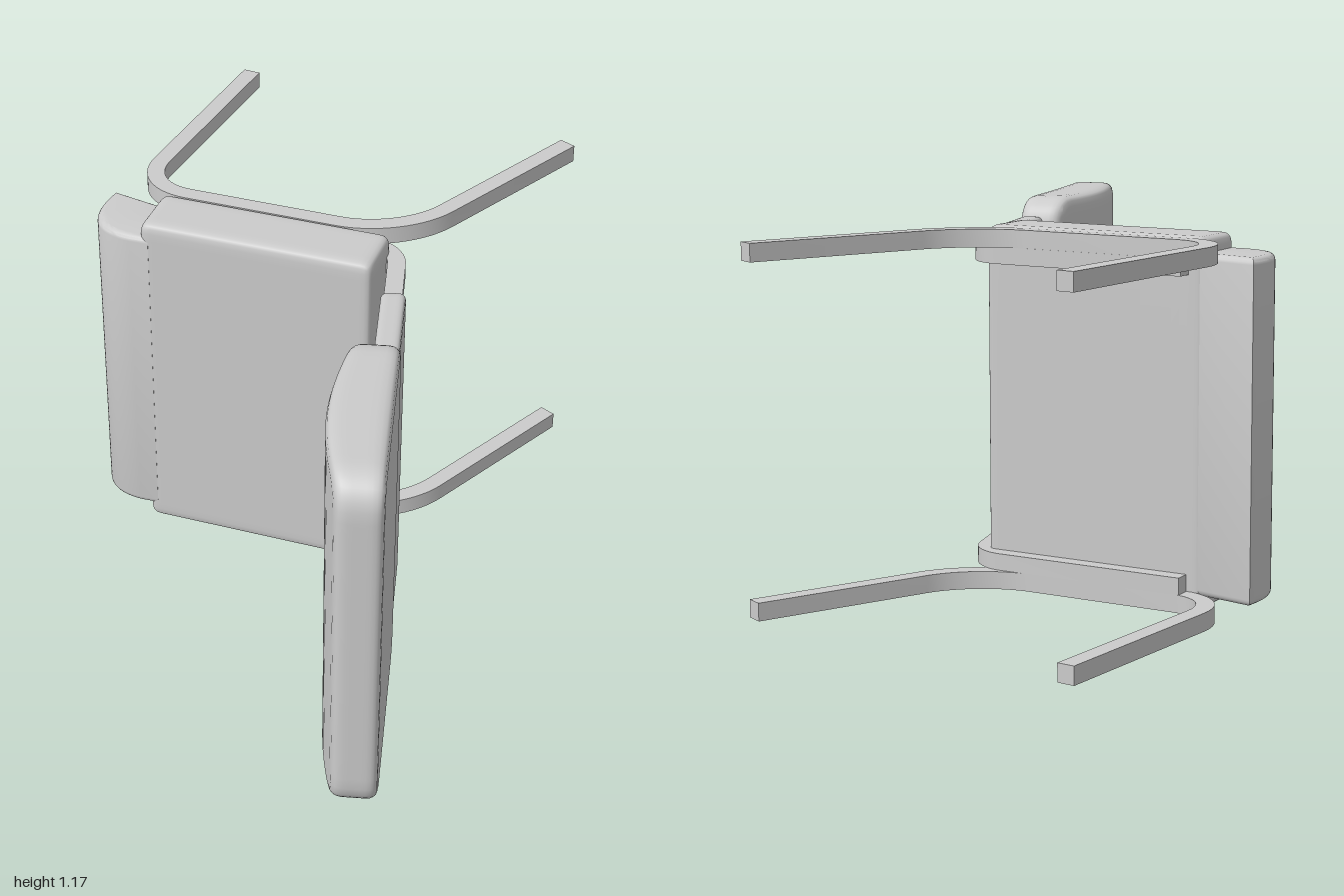
import * as THREE from 'three';
import { mergeVertices, toCreasedNormals } from 'three/addons/utils/BufferGeometryUtils.js';

const material = new THREE.MeshStandardMaterial({ color: 0xcccccc });
const MID_Y = 0.592; // mirror plane of the chair, which lies on its side

function addMesh(parent, name, geometry) {
  const mesh = new THREE.Mesh(geometry, material);
  mesh.name = name;
  parent.add(mesh);
  return mesh;
}

// Cushion block: outline corners rounded by R, rim rounded by r, optional crown on the +z face
function cushion(length, height, depth, R, r, crown = 0) {
  let geo = new THREE.BoxGeometry(2, 2, 2, 28, 28, 12);
  geo.deleteAttribute('uv');
  geo.deleteAttribute('normal');
  geo = mergeVertices(geo);
  const p = geo.attributes.position;
  const half = [length / 2, height / 2, depth / 2];
  const spread = (v, h) => Math.sin(v * Math.PI / 2) * h;
  for (let i = 0; i < p.count; i++) {
    const x = spread(p.getX(i), half[0]);
    const y = spread(p.getY(i), half[1]);
    let z = spread(p.getZ(i), half[2]);
    const ix = THREE.MathUtils.clamp(x, R - half[0], half[0] - R);
    const iy = THREE.MathUtils.clamp(y, R - half[1], half[1] - R);
    const dx = x - ix, dy = y - iy, len = Math.hypot(dx, dy);
    let reach = Math.max(Math.abs(dx), Math.abs(dy));
    const a = Math.max(0, reach - (R - r));
    const b = Math.max(0, Math.abs(z) - (half[2] - r));
    const s = a + b > 0 ? Math.max(a, b) / Math.hypot(a, b) : 1;
    reach += a * (s - 1);
    z += Math.sign(z) * b * (s - 1);
    const k = len > 0 ? reach / len : 0;
    const nx = ix + dx * k;
    z += crown * Math.sin(Math.PI * (nx / length + 0.5)) * (z / depth + 0.5);
    p.setXYZ(i, nx, iy + dy * k, z);
  }
  geo.computeVertexNormals();
  return geo;
}

// Extrudes a plan outline of [x, z] points upwards
function extrudePlan(points, y0, y1, bevel = 0) {
  const shape = new THREE.Shape(points.map(([x, z]) => new THREE.Vector2(x, -z)));
  const geo = new THREE.ExtrudeGeometry(shape, {
    depth: y1 - y0 - 2 * bevel, bevelEnabled: bevel > 0, bevelSize: bevel,
    bevelThickness: bevel, bevelOffset: -bevel, bevelSegments: 4,
  });
  geo.rotateX(-Math.PI / 2);
  geo.translate(0, y0 + bevel, 0);
  return toCreasedNormals(geo, 0.6);
}

// Bent flat bar through [x, z, bend length] corners
function bar(corners, width, y0, y1) {
  const pts = corners.map(c => new THREE.Vector2(c[0], c[1]));
  const line = [pts[0]];
  for (let i = 1; i < pts.length - 1; i++) {
    const c = pts[i], t = corners[i][2];
    const toPrev = pts[i - 1].clone().sub(c).normalize();
    const toNext = pts[i + 1].clone().sub(c).normalize();
    const at = (dir, d) => c.clone().addScaledVector(dir, d);
    line.push(...new THREE.CubicBezierCurve(at(toPrev, t), at(toPrev, t * 0.42),
      at(toNext, t * 0.42), at(toNext, t)).getPoints(14));
  }
  line.push(pts[pts.length - 1]);
  const left = [], right = [];
  line.forEach((q, i) => {
    const d = line[Math.min(i + 1, line.length - 1)].clone()
      .sub(line[Math.max(i - 1, 0)]).normalize().multiplyScalar(width / 2);
    left.push([q.x - d.y, q.y + d.x]);
    right.unshift([q.x + d.y, q.y - d.x]);
  });
  return extrudePlan([...left, ...right], y0, y1);
}

export function createModel() {
  const chair = new THREE.Group();
  chair.name = 'chair';
  const backAngle = Math.atan2(-0.943, 0.333);

  // Seat cushion and its narrower rounded front lip
  const seat = addMesh(chair, 'seat', cushion(0.74, 1.118, 0.2, 0.03, 0.025));
  seat.position.set(-0.15, MID_Y, -0.105);
  seat.rotation.y = 0.1;

  const front = new THREE.CubicBezierCurve(
    new THREE.Vector2(-0.705, -0.185), new THREE.Vector2(-0.72, -0.04),
    new THREE.Vector2(-0.67, 0.045), new THREE.Vector2(-0.54, 0.038));
  const lip = [...front.getPoints(20).map(v => [v.x, v.y]),
    [-0.48, 0.029], [-0.46, -0.165], [-0.53, -0.167]];
  addMesh(chair, 'seatLip', extrudePlan(lip, 0.08, 1.104, 0.02));

  // Lower back panel
  const panel = addMesh(chair, 'backPanel', cushion(0.34, 1.055, 0.075, 0.035, 0.02));
  panel.position.set(0.372, MID_Y, 0.15);
  panel.rotation.y = backAngle;

  // Crowned backrest
  const backrest = addMesh(chair, 'backrest', cushion(0.72, 1.174, 0.13, 0.1, 0.03, 0.053));
  backrest.position.set(0.519, MID_Y, 0.632);
  backrest.rotation.y = backAngle;

  // Leg frames and back supports, one of each per side
  const legPath = [[-0.625, -1], [-0.625, -0.181, 0.17], [0.23, -0.265, 0.2], [0.5, -0.99]];
  const supportPath = [[-0.48, -0.196], [0.222, -0.265, 0.09], [0.375, 0.16]];
  for (const [side, sign] of [['right', -1], ['left', 1]]) {
    const range = (inner, outer) => [MID_Y + sign * inner, MID_Y + sign * outer].sort((a, b) => a - b);
    addMesh(chair, side + 'LegFrame', bar(legPath, 0.055, ...range(0.5, 0.555)));
    addMesh(chair, side + 'BackSupport', bar(supportPath, 0.055, ...range(0.448, 0.5)));
  }
  return chair;
}
